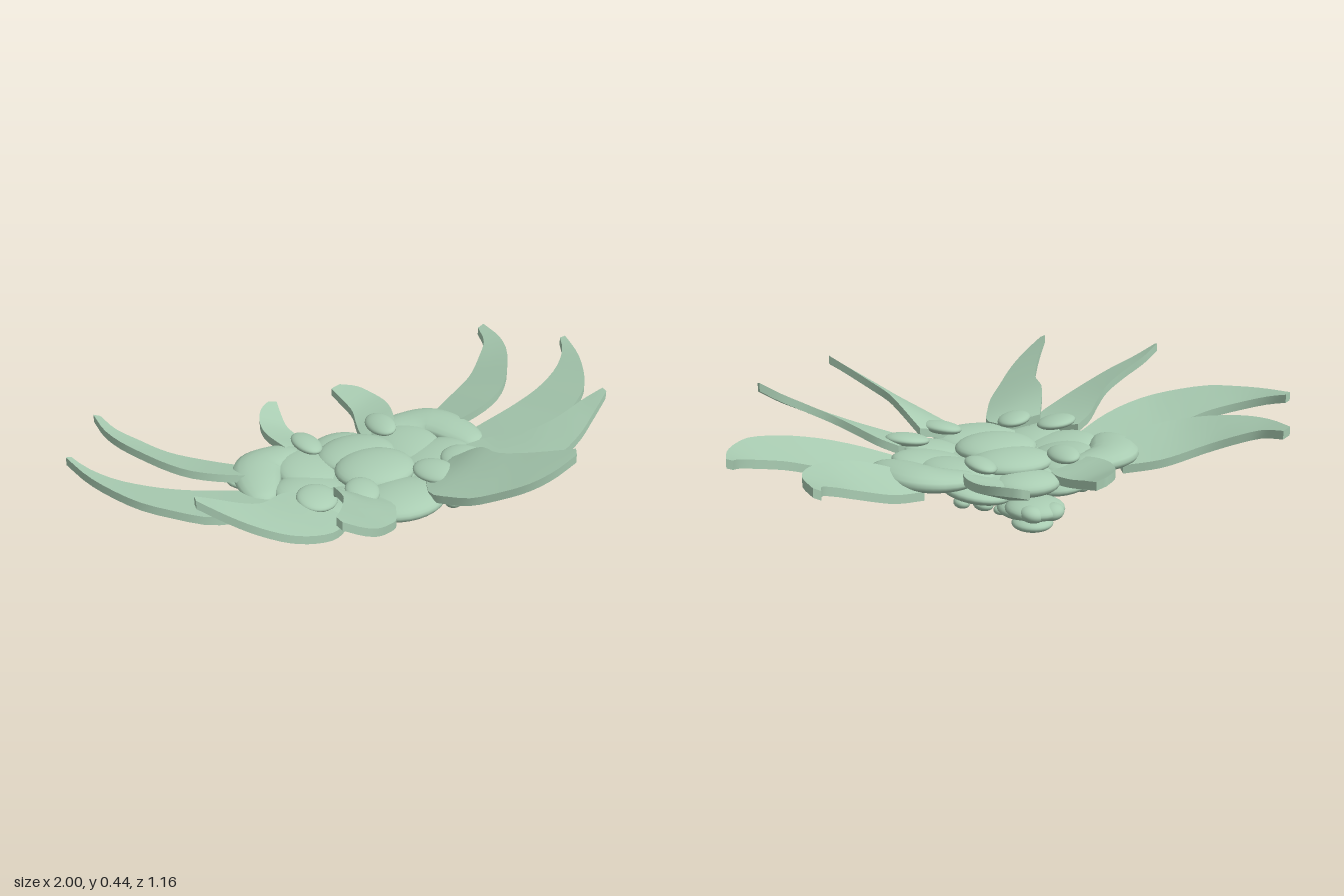
import * as THREE from 'three';
import { toCreasedNormals } from 'three/addons/utils/BufferGeometryUtils.js';

const sage = new THREE.MeshStandardMaterial({ color: 0xa9ccb2 });
sage.name = 'sageGreen';

function makeMesh(name, geometry) {
  const mesh = new THREE.Mesh(geometry, sage);
  mesh.name = name;
  return mesh;
}

function indexed(verts, index) {
  const geo = new THREE.BufferGeometry();
  geo.setAttribute('position', new THREE.Float32BufferAttribute(verts, 3));
  geo.setIndex(index);
  geo.computeVertexNormals();
  return geo;
}

const spline = (side, pts) =>
  new THREE.CatmullRomCurve3(pts.map(([x, y, z]) => new THREE.Vector3(side * x, y, z)));

// Thick leaf blade stretched between two edge curves that run from base to tip
function blade(name, side, edges, thick = 0.03) {
  const [a, b] = (side > 0 ? edges : [...edges].reverse()).map((e) => spline(side, e));
  const n = 18, m = 3, ring = 2 * (m + 1), verts = [], index = [];
  for (let i = 0; i <= n; i++) {
    const p = a.getPointAt(i / n), q = b.getPointAt(i / n);
    for (let k = 0; k < ring; k++) {
      const top = k <= m;
      const c = p.clone().lerp(q, (top ? k : ring - 1 - k) / m);
      verts.push(c.x, c.y - (top ? 0 : thick), c.z);
      if (i < n) {
        const u = i * ring + k, v = i * ring + ((k + 1) % ring);
        index.push(u, v, u + ring, v, v + ring, u + ring);
      }
    }
  }
  // Close the base and the tip
  for (let k = 0; k < m; k++) {
    const low = ring - 1 - k, e = n * ring;
    index.push(k, low, k + 1, k + 1, low, low - 1);
    index.push(e + k, e + k + 1, e + low, e + k + 1, e + low - 1, e + low);
  }
  return makeMesh(name, toCreasedNormals(indexed(verts, index), 0.7));
}

// Smooth flattened pebble
function pebble(name, [x, y, z, rx, ry, rz], turn = 0, tilt = 0) {
  const mesh = makeMesh(name, new THREE.SphereGeometry(1, 28, 16));
  mesh.scale.set(rx, ry, rz);
  mesh.position.set(x, y, z);
  mesh.rotation.set(0, turn, tilt);
  return mesh;
}

// Crescent lobe: flattened elliptical rings swept along a plan curve
function crescent(name, side) {
  const curve = spline(side, [
    [0.17, 0.185, -0.25], [0.27, 0.185, -0.245], [0.35, 0.19, -0.21], [0.395, 0.19, -0.11], [0.425, 0.185, 0.01],
  ]);
  const n = 24, m = 16, verts = [], index = [];
  for (let i = 0; i <= n; i++) {
    const t = i / n, c = curve.getPoint(t), d = curve.getTangent(t);
    const r = Math.pow(Math.max(0, 1 - (2 * t - 1) ** 2), 0.4);
    for (let j = 0; j < m; j++) {
      const a = (j / m) * Math.PI * 2, w = Math.cos(a) * 0.088 * r;
      verts.push(c.x - d.z * w, c.y + Math.sin(a) * 0.036 * r, c.z + d.x * w);
      if (i < n) {
        const p = i * m + j, q = i * m + ((j + 1) % m);
        index.push(p, p + m, q, q, p + m, q + m);
      }
    }
  }
  return makeMesh(name, indexed(verts, index));
}

// Two edges per blade, points x, y, z
const BLADES = {
  RearBlade: [
    [[0.36, 0.165, -0.27], [0.48, 0.19, -0.33], [0.62, 0.24, -0.38], [0.7, 0.28, -0.44], [0.76, 0.31, -0.5], [0.785, 0.328, -0.585]],
    [[0.38, 0.2, -0.14], [0.53, 0.25, -0.135], [0.62, 0.272, -0.17], [0.68, 0.29, -0.22], [0.74, 0.31, -0.3],
      [0.785, 0.324, -0.38], [0.81, 0.333, -0.47], [0.81, 0.34, -0.585]],
  ],
  SideBlade: [
    [[0.36, 0.165, -0.08], [0.48, 0.19, -0.1], [0.65, 0.235, -0.11], [0.77, 0.275, -0.125], [0.88, 0.31, -0.175],
      [0.95, 0.34, -0.24], [0.98, 0.358, -0.3]],
    [[0.36, 0.19, 0.07], [0.46, 0.22, 0.115], [0.57, 0.25, 0.14], [0.68, 0.275, 0.14], [0.78, 0.302, 0.09],
      [0.86, 0.322, 0.03], [0.92, 0.336, -0.06], [0.97, 0.35, -0.17], [1, 0.364, -0.295]],
  ],
  FrontSideBlade: [
    [[0.34, 0.225, 0.05], [0.4, 0.25, 0.08], [0.46, 0.28, 0.14], [0.53, 0.315, 0.2], [0.61, 0.355, 0.225],
      [0.7, 0.402, 0.235], [0.765, 0.44, 0.255]],
    [[0.22, 0.185, 0.23], [0.31, 0.205, 0.31], [0.4, 0.235, 0.345], [0.5, 0.277, 0.36], [0.61, 0.335, 0.345],
      [0.69, 0.382, 0.31], [0.767, 0.435, 0.275]],
  ],
  FrontBlade: [
    [[0.23, 0.25, 0.14], [0.28, 0.325, 0.24], [0.29, 0.34, 0.32], [0.33, 0.367, 0.4], [0.38, 0.4, 0.48], [0.435, 0.435, 0.56]],
    [[0.1, 0.215, 0.18], [0.07, 0.212, 0.26], [0.1, 0.227, 0.33], [0.14, 0.247, 0.4], [0.2, 0.28, 0.46],
      [0.28, 0.33, 0.53], [0.35, 0.375, 0.565], [0.425, 0.425, 0.58]],
  ],
  TailBlade: [
    [[0.11, 0.175, -0.2], [0.095, 0.17, -0.28], [0.115, 0.175, -0.36], [0.135, 0.19, -0.43], [0.127, 0.21, -0.5], [0.115, 0.23, -0.56]],
    [[0.19, 0.19, -0.2], [0.23, 0.215, -0.28], [0.25, 0.225, -0.37], [0.235, 0.23, -0.45], [0.2, 0.24, -0.515], [0.15, 0.24, -0.56]],
  ],
};

// x, y, z, then radii
const CENTRE = {
  bodyCore: [0, 0.145, -0.03, 0.27, 0.045, 0.3],
  frontShell: [0, 0.172, 0.19, 0.16, 0.044, 0.125],
  middleShell: [0, 0.195, 0.0, 0.145, 0.042, 0.13],
  crownShell: [0, 0.185, -0.14, 0.145, 0.04, 0.12],
  rearShell: [0, 0.145, -0.26, 0.12, 0.04, 0.1],
  headShell: [0, 0.085, -0.34, 0.1, 0.035, 0.1],
  headKeel: [0, 0.026, -0.32, 0.07, 0.026, 0.07],
  headCollar: [0, 0.065, -0.27, 0.1, 0.035, 0.1],
  bellyShell: [0, 0.095, 0.05, 0.13, 0.056, 0.12],
};

const PAIRS = [
  ['sidePad', [0.24, 0.17, 0.0, 0.14, 0.034, 0.12], 0],
  ['rearPad', [0.19, 0.17, -0.13, 0.12, 0.038, 0.15], 0.3],
  ['frontPad', [0.18, 0.17, 0.12, 0.12, 0.03, 0.11], 0],
  ['underPad', [0.15, 0.12, -0.19, 0.12, 0.035, 0.14], 0],
  ['shoulderPad', [0.33, 0.155, -0.06, 0.12, 0.028, 0.14], 0],
  ['tailKnob', [0.15, 0.22, -0.235, 0.05, 0.022, 0.08], 0],
  ['frontKnob', [0.14, 0.235, 0.17, 0.06, 0.022, 0.08], 0.5],
  ['frontSideKnob', [0.285, 0.222, 0.12, 0.07, 0.022, 0.08], 0.7],
  ['sideKnob', [0.4, 0.16, 0.05, 0.08, 0.02, 0.06], 0],
  ['rearKnob', [0.4, 0.165, -0.19, 0.08, 0.026, 0.06], 0],
  ['frontBead', [0.18, 0.142, 0.235, 0.034, 0.026, 0.034], 0],
  ['bellyBead', [0.11, 0.1, 0.14, 0.022, 0.018, 0.025], 0],
  ['flankBead', [0.2, 0.09, -0.11, 0.022, 0.014, 0.022], 0],
  ['flankPebble', [0.11, 0.05, -0.155, 0.035, 0.022, 0.038], 0],
  ['rearBead', [0.22, 0.1, -0.24, 0.028, 0.02, 0.03], 0],
  ['headBead', [0.08, 0.05, -0.23, 0.022, 0.016, 0.022], 0],
  ['headLobe', [0.035, 0.085, -0.395, 0.042, 0.028, 0.045], 0],
];

export function createModel() {
  const model = new THREE.Group();
  model.name = 'leafOrnament';

  // Shells along the middle
  for (const [name, v] of Object.entries(CENTRE)) model.add(pebble(name, v));

  // Mirrored blades, lobes, pads and beads
  for (const [label, side] of [['left', 1], ['right', -1]]) {
    for (const [name, edges] of Object.entries(BLADES)) model.add(blade(label + name, side, edges));
    model.add(crescent(label + 'CrescentLobe', side));
    for (const [name, [x, ...rest], turn] of PAIRS) {
      model.add(pebble(label + name[0].toUpperCase() + name.slice(1), [side * x, ...rest], side * turn, side * 0.15));
    }
  }
  return model;
}
